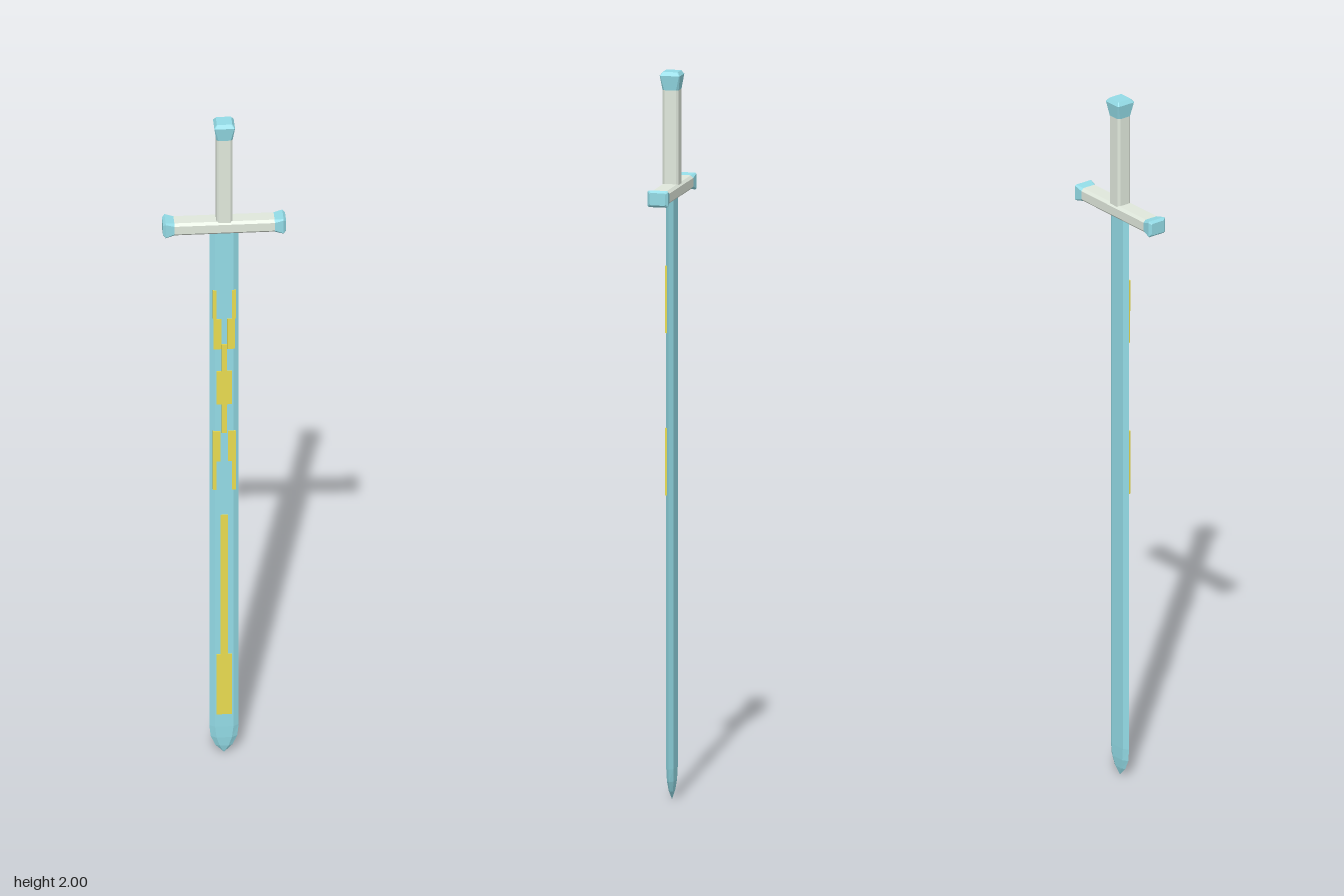
import * as THREE from 'three';

const material = (color) => new THREE.MeshStandardMaterial({ color, flatShading: true });
const blue = material(0x93dbe6);
const pale = material(0xe0e8dc);
const gold = material(0xe8dc50);

// Closed solid through rings of [x, z] points; rings run upwards in y,
// points run anticlockwise when seen from above
function loft(rings) {
  const n = rings[0].points.length;
  const pos = [];
  const index = [];
  rings.forEach(({ y, points }) => points.forEach(([x, z]) => pos.push(x, y, z)));
  for (let r = 0; r < rings.length - 1; r++) {
    for (let i = 0; i < n; i++) {
      const a = r * n + i, b = r * n + (i + 1) % n;
      index.push(a, b, b + n, a, b + n, a + n);
    }
  }
  const top = (rings.length - 1) * n;
  for (let i = 1; i < n - 1; i++) {
    index.push(0, i + 1, i, top, top + i, top + i + 1);
  }
  const geometry = new THREE.BufferGeometry();
  geometry.setAttribute('position', new THREE.Float32BufferAttribute(pos, 3));
  geometry.setIndex(index);
  geometry.computeVertexNormals();
  return geometry;
}

// Rectangle with chamfered corners
function chamfered(hx, hz, c) {
  return [
    [hx, hz - c], [hx, -hz + c], [hx - c, -hz], [-hx + c, -hz],
    [-hx, -hz + c], [-hx, hz - c], [-hx + c, hz], [hx - c, hz],
  ];
}

// Hexagonal blade section: flat faces with a bevel to each cutting edge
function bladeSection(half, flat, thick) {
  return [[half, 0], [flat, -thick], [-flat, -thick], [-half, 0], [-flat, thick], [flat, thick]];
}

function add(parent, name, geometry, mat) {
  const mesh = new THREE.Mesh(geometry, mat);
  mesh.name = name;
  parent.add(mesh);
  return mesh;
}

// Straight bar and flared end cap, as [y, halfX, halfZ, chamfer] rows
const bar = (rows) => loft(rows.map(([y, hx, hz, c]) => ({ y, points: chamfered(hx, hz, c) })));

export function createModel() {
  const sword = new THREE.Group();
  sword.name = 'sword';

  // Blade, point down
  const sections = [
    [0.005, 0.001, 0.0005, 0.0005],
    [0.027, 0.023, 0.012, 0.006],
    [0.055, 0.036, 0.021, 0.009],
    [0.09, 0.04, 0.025, 0.01],
    [1.66, 0.04, 0.025, 0.01],
  ];
  add(sword, 'blade', loft(sections.map(([y, half, flat, thick]) => (
    { y, points: bladeSection(half, flat, thick) }))), blue);

  // Gold inlay on the front face: [x0, x1, y0, y1]
  const inlay = new THREE.Group();
  inlay.name = 'inlay';
  sword.add(inlay);
  const centre = [
    [-0.021, 0.021, 0.13, 0.32],
    [-0.01, 0.01, 0.32, 0.76],
    [-0.007, 0.007, 1.02, 1.11],
    [-0.021, 0.021, 1.11, 1.215],
    [-0.007, 0.007, 1.215, 1.3],
  ];
  const side = [
    [0.021, 0.031, 0.84, 0.93],
    [0.01, 0.031, 0.93, 1.025],
    [0.008, 0.029, 1.285, 1.38],
    [0.021, 0.031, 1.38, 1.47],
  ];
  const mirrored = side.map(([x0, x1, y0, y1]) => [-x1, -x0, y0, y1]);
  for (const [x0, x1, y0, y1] of [...centre, ...side, ...mirrored]) {
    const strip = add(inlay, 'inlayStrip', new THREE.BoxGeometry(x1 - x0, y1 - y0, 0.008), gold);
    strip.position.set((x0 + x1) / 2, (y0 + y1) / 2, 0.008);
  }

  // Crossguard bar with a flared cap at each end
  const guard = new THREE.Group();
  guard.name = 'crossguard';
  guard.position.y = 1.674;
  sword.add(guard);
  const guardBar = add(guard, 'guardBar',
    bar([[-0.138, 0.019, 0.026, 0.007], [0.138, 0.019, 0.026, 0.007]]), pale);
  guardBar.rotation.z = -Math.PI / 2;
  for (const s of [-1, 1]) {
    const cap = add(guard, s > 0 ? 'leftGuardCap' : 'rightGuardCap', bar([
      [0.136, 0.019, 0.026, 0.007], [0.16, 0.023, 0.0285, 0.003], [0.167, 0.017, 0.022, 0.003],
    ]), blue);
    cap.rotation.z = -s * Math.PI / 2;
  }

  // Grip and flared pommel
  add(sword, 'grip', bar([[1.68, 0.022, 0.022, 0.006], [1.952, 0.022, 0.022, 0.006]]), pale);
  add(sword, 'pommel', bar([
    [1.95, 0.0225, 0.0225, 0.006], [1.99, 0.028, 0.028, 0.002], [2, 0.021, 0.021, 0.002],
  ]), blue);

  return sword;
}
